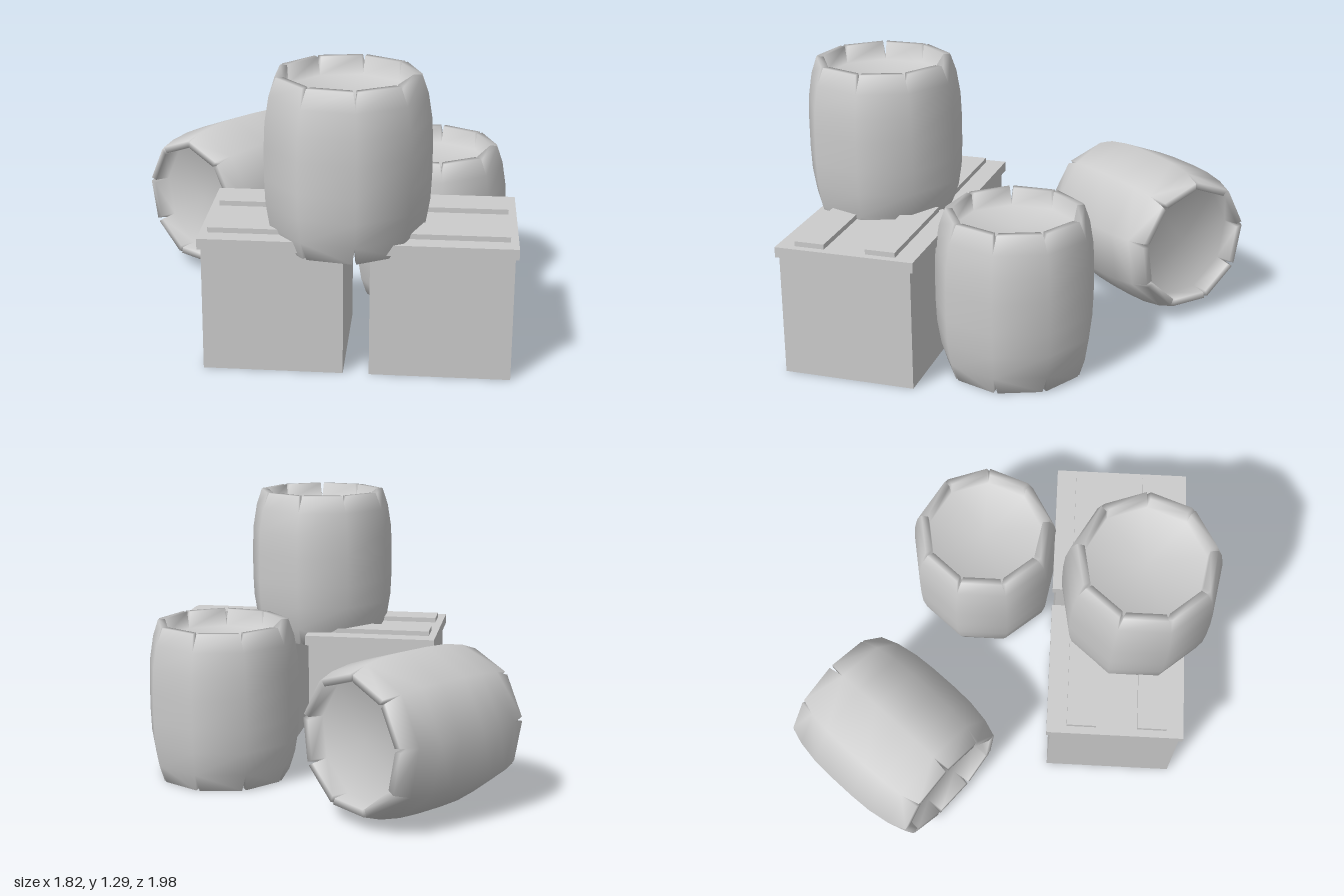
import * as THREE from 'three';
import { mergeVertices } from 'three/addons/utils/BufferGeometryUtils.js';

const SIDES = 9;
const HALF = 0.3725; // half the barrel height
const NOTCH = 0.29; // height at which the stave ends split and the heads sit
// bulging outline between the split stave ends: [height, radius]
const BODY = [[-NOTCH, 0.343], [-0.18, 0.361], [-0.07, 0.366], [0.07, 0.366], [0.18, 0.361], [NOTCH, 0.343]];

// Barrel around the y axis, centred on the origin, first corner at angle `phase`
function barrelGeometry(phase) {
  const pos = [];
  const point = (a, r, y) => new THREE.Vector3(Math.cos(a) * r, y, Math.sin(a) * r);
  const tri = (flip, a, b, c) => (flip ? [a, c, b] : [a, b, c]).forEach((p) => pos.push(p.x, p.y, p.z));
  const quad = (flip, a, b, c, d) => {
    tri(flip, a, b, c);
    tri(flip, a, c, d);
  };

  for (let k = 0; k < SIDES; k++) {
    const a0 = phase + (k * 2 * Math.PI) / SIDES;
    const a1 = phase + ((k + 1) * 2 * Math.PI) / SIDES;

    // stave body
    for (let i = 0; i < BODY.length - 1; i++) {
      const [y0, r0] = BODY[i];
      const [y1, r1] = BODY[i + 1];
      quad(false, point(a1, r0, y0), point(a0, r0, y0), point(a0, r1, y1), point(a1, r1, y1));
    }

    // narrowed stave ends with V notches between them, and recessed heads
    for (const s of [1, -1]) {
      const f = s < 0;
      const pair = (r, y, gap) => {
        const p = point(a0, r, y * s);
        const q = point(a1, r, y * s);
        return [p.clone().lerp(q, gap), q.clone().lerp(p, gap)];
      };
      const [p0, p1] = pair(0.343, NOTCH, 0);
      const [q0, q1] = pair(0.317, HALF, 0.045);
      const [i0, i1] = pair(0.283, HALF, 0.045);
      const [j0, j1] = pair(0.278, NOTCH, 0);
      quad(f, p1, p0, q0, q1);
      quad(f, q1, q0, i0, i1);
      quad(f, i1, i0, j0, j1);
      quad(f, p0, j0, i0, q0);
      quad(f, j1, p1, q1, i1);
      tri(f, j1, j0, new THREE.Vector3(0, NOTCH * s, 0));
    }
  }

  const geo = new THREE.BufferGeometry();
  geo.setAttribute('position', new THREE.Float32BufferAttribute(pos, 3));
  const merged = mergeVertices(geo, 1e-4);
  merged.computeVertexNormals();
  return merged;
}

export function createModel() {
  const model = new THREE.Group();
  model.name = 'cratesAndBarrels';
  const grey = new THREE.MeshStandardMaterial({ color: 0xcccccc });
  grey.name = 'light grey';

  const box = (parent, name, x0, x1, y0, y1, z0, z1) => {
    const mesh = new THREE.Mesh(new THREE.BoxGeometry(x1 - x0, y1 - y0, z1 - z0), grey);
    mesh.position.set((x0 + x1) / 2, (y0 + y1) / 2, (z0 + z1) / 2);
    mesh.name = name;
    parent.add(mesh);
  };

  // two crates with overhanging lids and a pair of battens each
  [['rightCrate', -0.133], ['leftCrate', 0.59]].forEach(([name, x]) => {
    const crate = new THREE.Group();
    crate.name = name;
    box(crate, 'crateBody', x - 0.305, x + 0.305, 0, 0.565, 0.255, 0.865);
    box(crate, 'crateLid', x - 0.32, x + 0.32, 0.562, 0.61, 0.237, 0.878);
    for (const z of [0.33, 0.66]) box(crate, 'lidBatten', x - 0.285, x + 0.285, 0.608, 0.633, z, z + 0.138);
    model.add(crate);
  });

  const barrel = (name, phase, x, y, z) => {
    const mesh = new THREE.Mesh(barrelGeometry(phase), grey);
    mesh.name = name;
    mesh.position.set(x, y, z);
    model.add(mesh);
    return mesh;
  };

  // barrel resting on the crates, and one standing behind them
  barrel('topBarrel', 0, 0.169, 0.545 + HALF, 0.635);
  barrel('standingBarrel', 0, 0.519, HALF, -0.105);

  // barrel lying on its side, turned towards the front right
  const lying = barrel('lyingBarrel', THREE.MathUtils.degToRad(8), -0.435, 0.37, -0.495);
  const axis = new THREE.Vector3(-0.633, 0, 0.774).normalize();
  const across = new THREE.Vector3(-axis.z, 0, axis.x);
  const up = new THREE.Vector3(0, 1, 0);
  lying.quaternion.setFromRotationMatrix(new THREE.Matrix4().makeBasis(across, axis, up));

  return model;
}
